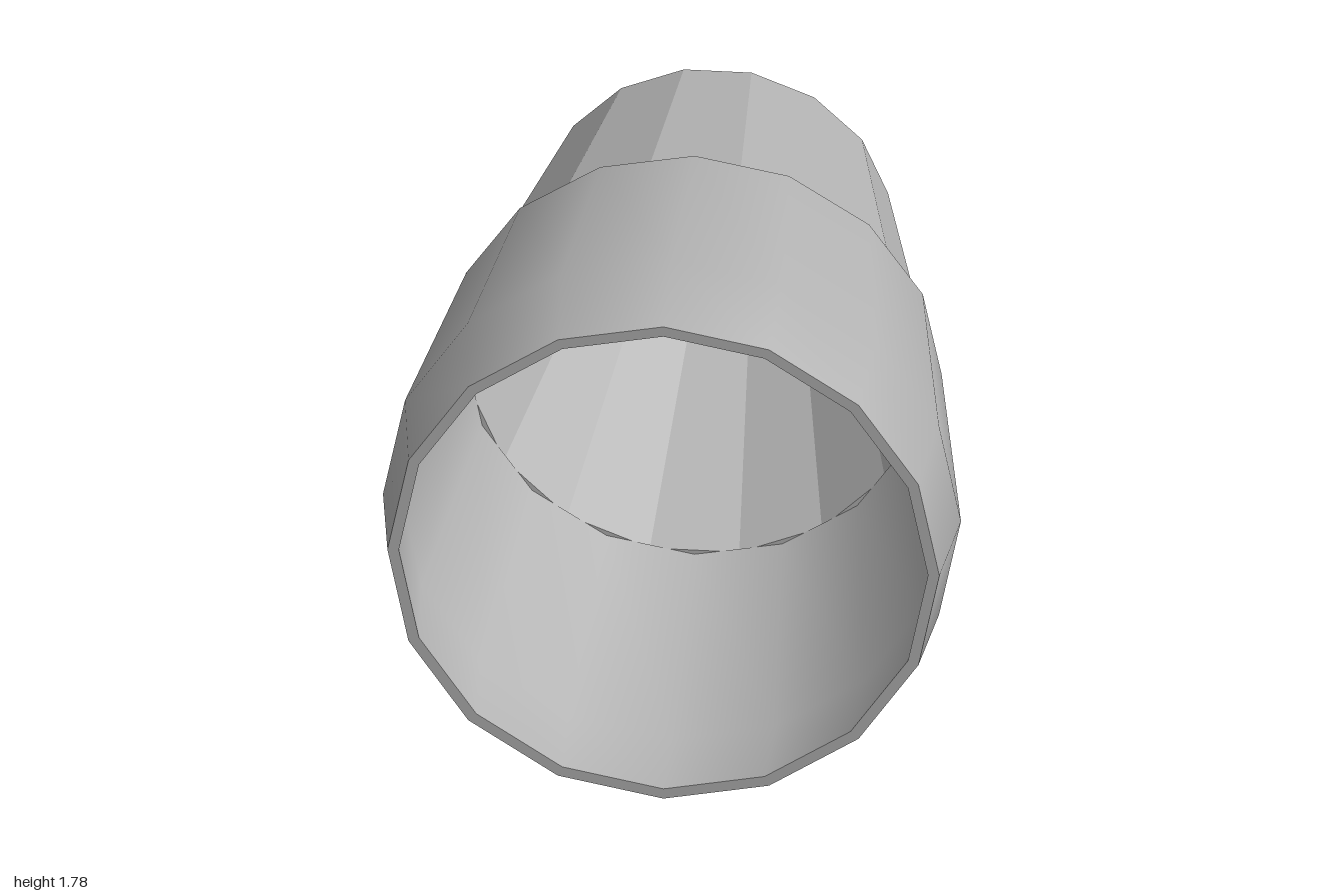
import * as THREE from 'three';

const SIDES = 16;
const CENTRE_Y = 0.89;

export function createModel() {
  const group = new THREE.Group();
  const grey = new THREE.MeshStandardMaterial({ color: 0xb4b4b4 });
  grey.name = 'grey';

  // Revolve [radius, z] points round the z axis; rising z faces outward.
  function ring(name, profile, { turned = false, flat = false, oval = false } = {}) {
    const points = profile.map(([r, z]) => new THREE.Vector2(r, z));
    let geo = new THREE.LatheGeometry(points, SIDES, turned ? Math.PI / SIDES : 0);
    geo.rotateX(Math.PI / 2);
    if (oval) {
      // The collar narrows slightly sideways towards its mouth
      const p = geo.attributes.position;
      for (let i = 0; i < p.count; i++) {
        const t = THREE.MathUtils.clamp((p.getZ(i) + 0.09) / 0.79, 0, 1);
        p.setX(i, p.getX(i) * (1 - 0.022 * t));
      }
    }
    if (flat) {
      geo = geo.toNonIndexed();
      geo.computeVertexNormals();
    }
    const mesh = new THREE.Mesh(geo, grey);
    mesh.name = name;
    mesh.position.y = CENTRE_Y;
    group.add(mesh);
  }

  // Smooth front collar with a thin wall
  const smooth = { oval: true };
  const facet = { oval: true, flat: true };
  ring('collarOuter', [[0.744, -0.09], [0.89, 0.7], [0.85, 1]], smooth);
  ring('collarInner', [[0.815, 1], [0.835, 0.7], [0.692, -0.09]], smooth);
  ring('collarFrontRim', [[0.85, 1], [0.815, 1]], facet);
  ring('collarRearRim', [[0.692, -0.09], [0.744, -0.09]], facet);

  // Faceted tapering nozzle, turned by half a side
  const cone = { turned: true, flat: true };
  ring('nozzleOuter', [[0.523, -0.9], [0.708, -0.09]], cone);
  ring('nozzleStep', [[0.472, -0.9], [0.523, -0.9]], cone);
  ring('nozzleTip', [[0.446, -1], [0.472, -0.9]], cone);
  ring('nozzleInner', [[0.69, -0.09], [0.472, -0.9], [0.446, -1]], cone);
  ring('nozzleFrontRim', [[0.708, -0.09], [0.69, -0.09]], cone);

  return group;
}
